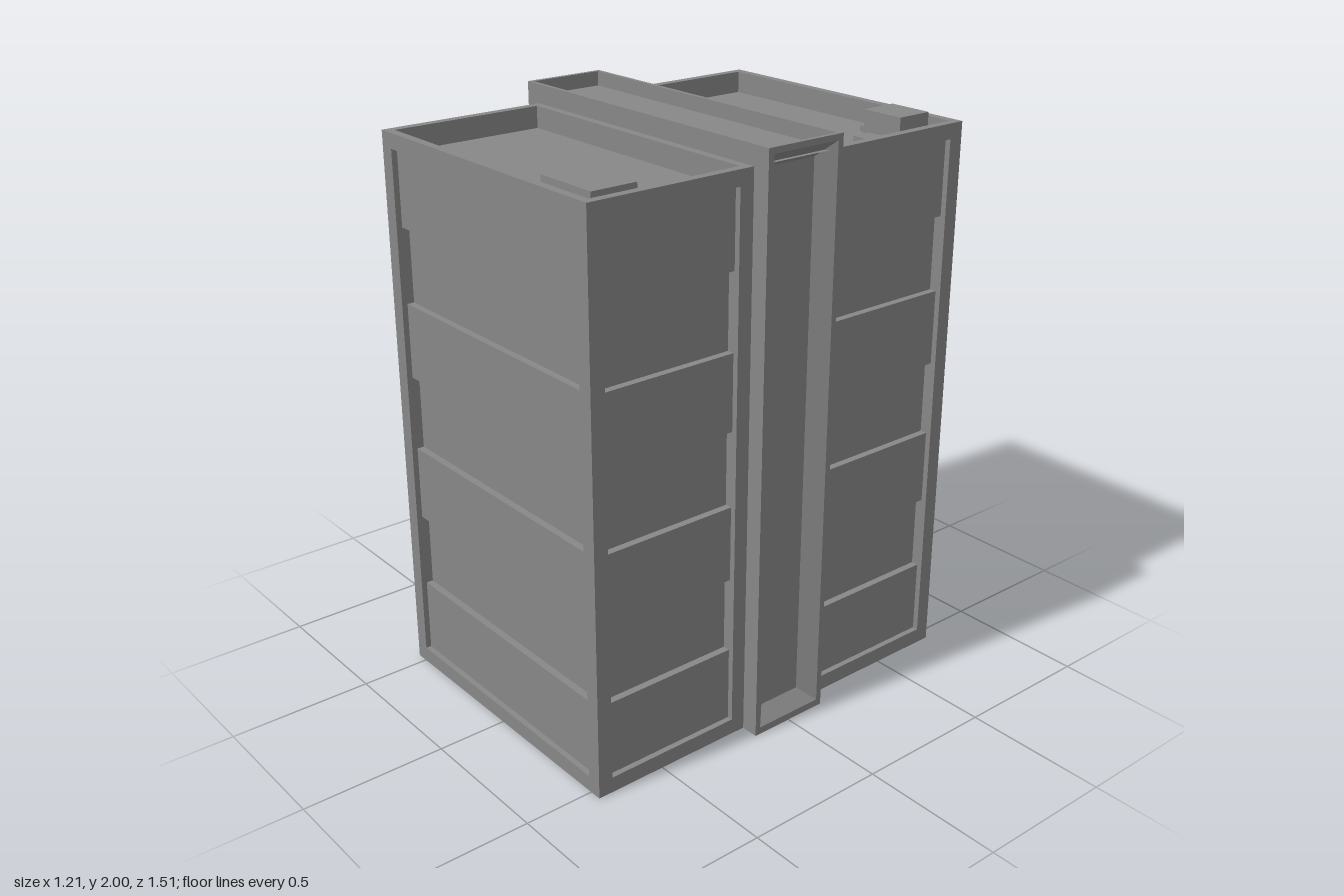
import * as THREE from 'three';

const mat = new THREE.MeshStandardMaterial({ color: 0x878787 });

const HW = 0.543, Z0 = 0.15, Z1 = 0.755, TOP = 1.935, ROOF = 1.86; // wing extents
const CX = 0.605, CROOF = 1.95, CTOP = 2.0;                        // core extents
const BORDER = 0.052, WALL = 0.03, SILL = 0.055, HEAD = 1.883, ROWS = 7;

function add(parent, name, geometry) {
  const mesh = new THREE.Mesh(geometry, mat);
  mesh.name = name;
  parent.add(mesh);
  return mesh;
}

// Box given by its minimum and maximum corners
function box(parent, name, [x0, x1], [y0, y1], [z0, z1]) {
  const g = new THREE.BoxGeometry(x1 - x0, y1 - y0, z1 - z0);
  g.translate((x0 + x1) / 2, (y0 + y1) / 2, (z0 + z1) / 2);
  return add(parent, name, g);
}

const rect = (S, a, b, c, d) =>
  new S([[a, c], [b, c], [b, d], [a, d]].map(([x, y]) => new THREE.Vector2(x, y)));

// Flat border around a facade opening
function facadeFrame(u0, u1, h0, h1) {
  const shape = rect(THREE.Shape, u0, u1, 0, TOP);
  shape.holes.push(rect(THREE.Path, h0, h1, SILL, HEAD));
  return new THREE.ExtrudeGeometry(shape, { depth: WALL, bevelEnabled: false });
}

function createWing() {
  const wing = new THREE.Group();
  wing.name = 'wing';
  box(wing, 'base', [-HW + 0.01, HW - 0.01], [0, SILL], [Z0, Z1 - 0.01]);

  // Floors, alternately shallow and deep behind the frames
  const rowH = (HEAD - SILL) / ROWS;
  for (let i = 0; i < ROWS; i++) {
    const inset = i % 2 ? 0.045 : 0.02;
    const y = SILL + i * rowH;
    box(wing, i % 2 ? 'recessedFloor' : 'bandFloor', [-HW + inset, HW - inset],
      [y, Math.min(y + rowH, ROOF)], [Z0, Z1 - inset]);
  }

  // Front frame and parapet backing
  add(wing, 'frontFrame', facadeFrame(-HW, HW, -HW + BORDER, HW - BORDER)).position.z = Z1 - WALL;
  box(wing, 'frontParapet', [-HW + WALL, HW - WALL], [ROOF, HEAD], [Z1 - WALL, Z1 - 0.02]);
  box(wing, 'innerParapet', [-HW + WALL, HW - WALL], [ROOF, TOP], [Z0, Z0 + WALL]);

  // Side frames, side parapets and corner posts
  for (const s of [-1, 1]) {
    const frame = add(wing, 'sideFrame', facadeFrame(Z0, Z1 - WALL, Z0 + BORDER, Z1 - BORDER));
    frame.rotation.y = -Math.PI / 2;
    frame.position.x = s > 0 ? HW : -HW + WALL;
    const span = (a, b) => (s > 0 ? [a, b] : [-b, -a]);
    box(wing, 'sideParapet', span(HW - WALL, HW - 0.02), [ROOF, HEAD], [Z0, Z1 - WALL]);
    const px = span(HW - BORDER, HW - 0.01);
    box(wing, 'cornerPost', px, [SILL, ROOF], [Z1 - BORDER, Z1 - 0.01]);
    box(wing, 'cornerPost', px, [SILL, ROOF], [Z0, Z0 + BORDER]);
  }
  return wing;
}

// Splayed niche at the end of the core: rim rectangle running back to a smaller panel
function nicheGeometry() {
  const loop = (x, z, y0, y1) => [[x, y0, z], [x, y0, -z], [x, y1, -z], [x, y1, z]];
  const rim = loop(CX, 0.13, 0.025, 1.98);
  const back = loop(CX - 0.05, 0.08, 0.07, 1.93);
  const pos = [];
  const quad = (a, b, c, d) => pos.push(...a, ...b, ...c, ...a, ...c, ...d);
  for (let i = 0; i < 4; i++) {
    const j = (i + 1) % 4;
    quad(rim[i], rim[j], back[j], back[i]);
  }
  quad(...back);
  const g = new THREE.BufferGeometry();
  g.setAttribute('position', new THREE.Float32BufferAttribute(pos, 3));
  g.computeVertexNormals();
  return g;
}

function createCore() {
  const core = new THREE.Group();
  core.name = 'core';
  const bx = CX - 0.051, ix = CX - 0.015, iz = 0.135;
  box(core, 'coreBody', [-bx, bx], [0.025, CROOF - 0.005], [-0.13, 0.13]);
  box(core, 'coreBase', [-CX, CX], [0, 0.025], [-0.13, 0.13]);

  // Roof deck, reaching the end parapets above the niches
  const deck = add(core, 'coreRoof', new THREE.PlaneGeometry(2 * ix, 2 * iz));
  deck.rotation.x = -Math.PI / 2;
  deck.position.y = CROOF;

  for (const s of [-1, 1]) {
    const span = (a, b) => (s > 0 ? [a, b] : [-b, -a]);
    box(core, 'coreSideWall', [-CX, CX], [0, CROOF - 0.001], span(0.13, 0.15));
    box(core, 'coreParapet', [-CX, CX], [CROOF - 0.001, CTOP], span(iz, 0.15));
    box(core, 'coreEndParapet', span(ix, CX), [1.98, CTOP], [-iz, iz]);
    // Fillers beside the rim, then the inner face of the end parapet
    for (const z of [[-iz, -0.13], [0.13, iz]]) {
      box(core, 'coreEndFiller', span(ix, CX), [CROOF - 0.001, 1.98], z);
    }
    const lining = add(core, 'endParapetLining', new THREE.PlaneGeometry(2 * iz, 1.98 - CROOF));
    lining.rotation.y = -s * Math.PI / 2;
    lining.position.set(s * ix, (1.98 + CROOF) / 2, 0);
    const niche = add(core, 'endNiche', nicheGeometry());
    if (s < 0) niche.rotation.y = Math.PI;
  }
  return core;
}

export function createModel() {
  const model = new THREE.Group();
  model.name = 'building';

  const front = createWing();
  const back = createWing();
  back.rotation.y = Math.PI;
  model.add(front, back, createCore());

  // Rooftop equipment: x range, z range, top height
  const units = [
    [[0.24, 0.478], [0.53, 0.692], 1.941],
    [[0.31, 0.46], [0.41, 0.51], 1.89],
    [[0.135, 0.19], [0.58, 0.68], 1.885],
    [[0.29, 0.45], [-0.695, -0.563], 1.957],
    [[0.33, 0.44], [-0.545, -0.475], 1.89],
    [[0.21, 0.26], [-0.685, -0.63], 1.88],
  ];
  for (const [x, z, top] of units) box(model, 'roofUnit', x, [ROOF, top], z);
  return model;
}
